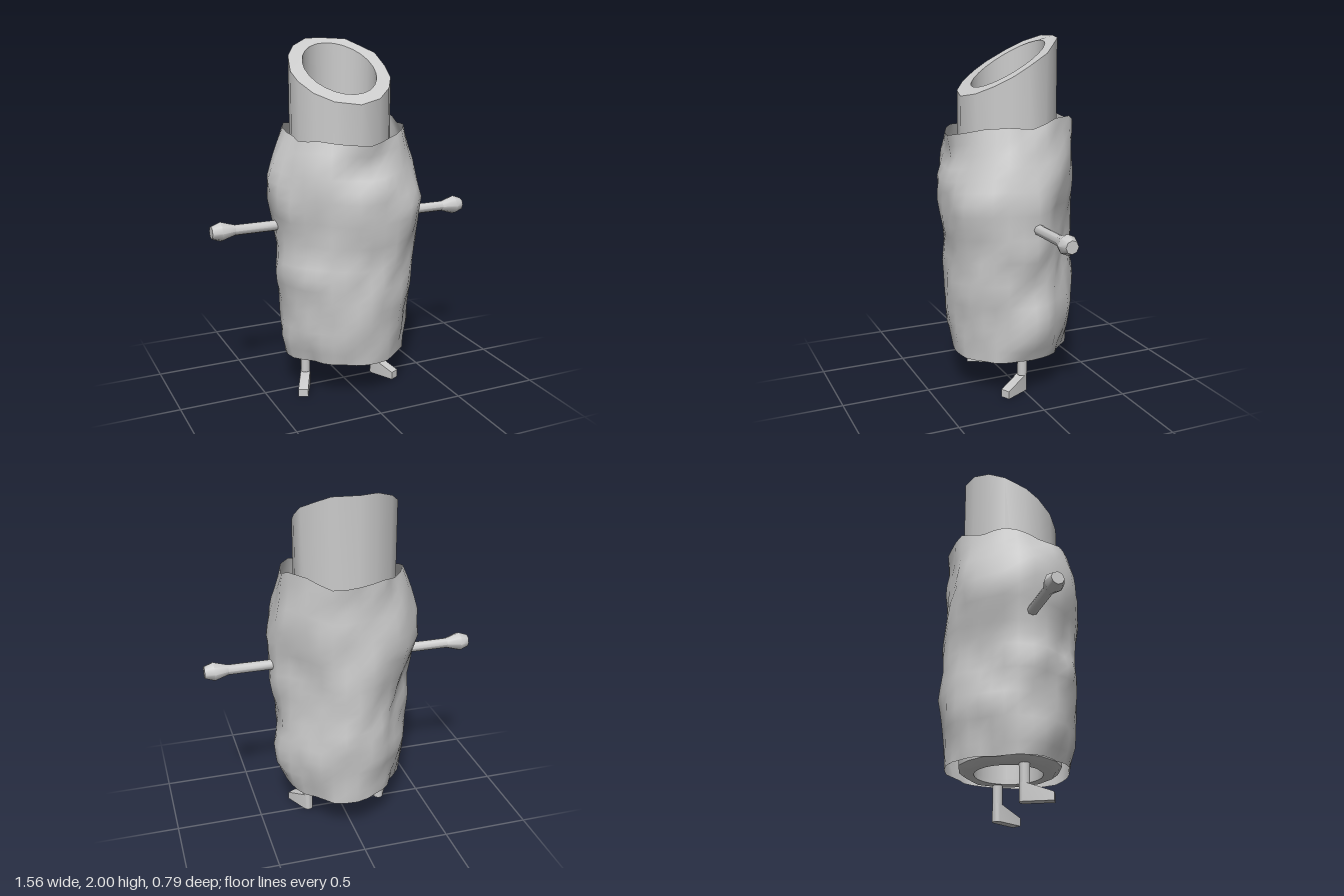
import * as THREE from 'three';
import { toCreasedNormals } from 'three/addons/utils/BufferGeometryUtils.js';

const material = new THREE.MeshStandardMaterial({ color: 0xcccccc, side: THREE.DoubleSide });

function part(name, geometry, parent) {
  const mesh = new THREE.Mesh(geometry, material);
  mesh.name = name;
  parent.add(mesh);
  return mesh;
}

// Linear interpolation in an evenly spaced list, t from 0 to 1
function sample(list, t) {
  const f = t * (list.length - 1);
  const i = Math.min(Math.floor(f), list.length - 2);
  return THREE.MathUtils.lerp(list[i], list[i + 1], f - i);
}

// Sleeve radii from bottom to top in eight directions (degrees from +x towards +z)
const SLEEVE = [
  { angle: 0, radii: [0.34, 0.40, 0.405, 0.375, 0.39, 0.42, 0.41, 0.415, 0.40, 0.365, 0.34] },
  { angle: 40, radii: [0.345, 0.355, 0.365, 0.395, 0.40, 0.41, 0.435, 0.45, 0.405, 0.37, 0.335] },
  { angle: 90, radii: [0.335, 0.355, 0.37, 0.375, 0.37, 0.37, 0.39, 0.40, 0.40, 0.34, 0.355] },
  { angle: 140, radii: [0.32, 0.36, 0.37, 0.38, 0.40, 0.375, 0.38, 0.40, 0.405, 0.40, 0.36] },
  { angle: 180, radii: [0.36, 0.39, 0.385, 0.395, 0.42, 0.405, 0.42, 0.45, 0.45, 0.405, 0.345] },
  { angle: 220, radii: [0.315, 0.335, 0.37, 0.35, 0.34, 0.35, 0.39, 0.425, 0.41, 0.375, 0.34] },
  { angle: 270, radii: [0.355, 0.36, 0.38, 0.395, 0.385, 0.385, 0.385, 0.37, 0.365, 0.355, 0.37] },
  { angle: 320, radii: [0.315, 0.35, 0.37, 0.355, 0.335, 0.33, 0.335, 0.365, 0.38, 0.37, 0.36] },
];

function sleeveRadius(degrees, t) {
  let i = SLEEVE.length - 1;
  while (SLEEVE[i].angle > degrees) i--;
  const from = SLEEVE[i], to = SLEEVE[(i + 1) % SLEEVE.length];
  const k = THREE.MathUtils.smoothstep(degrees, from.angle, to.angle || 360);
  return THREE.MathUtils.lerp(sample(from.radii, t), sample(to.radii, t), k);
}

// Rough open sleeve with a torn rim
function sleeveGeometry() {
  const SEG = 32, ROWS = 20;
  // Height of the rim, going round from +x through +z
  const rim = [1.53, 1.54, 1.53, 1.50, 1.475, 1.485, 1.50, 1.49, 1.52, 1.55, 1.53, 1.56, 1.54, 1.53, 1.58, 1.58, 1.53];
  const pos = [], index = [];
  for (let r = 0; r <= ROWS; r++) {
    const t = r / ROWS;
    for (let s = 0; s < SEG; s++) {
      const a = (s / SEG) * Math.PI * 2;
      const bottom = 0.222 + 0.006 * Math.sin(3 * a + 1);
      const y = THREE.MathUtils.lerp(bottom, sample(rim, s / SEG), t);
      const lumps = 0.007 * Math.sin(7 * a + 2 * Math.sin(4 * y)) * Math.sin(15 * y + 1)
        + 0.005 * Math.sin(11 * a + 3 * Math.sin(7 * y + 1));
      const radius = sleeveRadius((s / SEG) * 360, t) + lumps - 0.004;
      pos.push(radius * Math.cos(a), y, radius * Math.sin(a));
      if (r < ROWS) {
        const p = r * SEG + s, q = r * SEG + (s + 1) % SEG;
        index.push(p, p + SEG, q, q, p + SEG, q + SEG);
      }
    }
  }
  const g = new THREE.BufferGeometry();
  g.setAttribute('position', new THREE.Float32BufferAttribute(pos, 3));
  g.setIndex(index);
  g.computeVertexNormals();
  return g;
}

// Thick tube: tapered bore, uneven outer wall, slanted top, bevelled lower edge
function tubeGeometry() {
  const cx = -0.02, cz = -0.01;
  const outline = [
    [-0.02, -0.288], [0.12, -0.245], [0.185, -0.185], [0.25, -0.12], [0.26, -0.01], [0.25, 0.08], [0.2, 0.16],
    [0.11, 0.235], [-0.02, 0.272], [-0.16, 0.24], [-0.25, 0.17], [-0.3, 0.08], [-0.313, 0], [-0.28, -0.12],
    [-0.22, -0.2], [-0.12, -0.262],
  ];
  const shape = new THREE.Shape(outline.map(([x, z]) => new THREE.Vector2(x, -z)));
  const bore = new THREE.Path();
  bore.absarc(cx, -cz, 0.205, 0, Math.PI * 2, true);
  shape.holes.push(bore);
  const g = new THREE.ExtrudeGeometry(shape, { depth: 1, steps: 2, bevelEnabled: false, curveSegments: 12 });
  g.rotateX(-Math.PI / 2);
  const p = g.attributes.position;
  for (let i = 0; i < p.count; i++) {
    const x = p.getX(i), level = p.getY(i), z = p.getZ(i);
    if (level > 0.75) {
      p.setY(i, Math.min(2, 1.845 - 0.6 * z));
    } else {
      const inBore = Math.hypot(x - cx, z - cz) < 0.21;
      const k = inBore ? 0.91 : level > 0.25 ? 1 : 0.88;
      p.setXYZ(i, cx + (x - cx) * k, level > 0.25 ? 0.23 : 0.203, cz + (z - cz) * k);
    }
  }
  return toCreasedNormals(g, 0.75);
}

// Arm along +x: thin rod ending in a flared fist
function armGeometry() {
  const profile = [[0, 0.285], [0.03, 0.285], [0.03, 0.65], [0.055, 0.73], [0.036, 0.782], [0, 0.782]];
  const g = new THREE.LatheGeometry(profile.map(([r, y]) => new THREE.Vector2(r, y)), 8);
  g.rotateZ(-Math.PI / 2);
  return toCreasedNormals(g, 0.8);
}

// Foot: rounded heel under the shin, straight toe; the top slopes down to the toe
function footGeometry() {
  const w = 0.028, toe = 0.152;
  const shape = new THREE.Shape();
  shape.moveTo(toe, -w);
  shape.lineTo(toe, w);
  shape.lineTo(0, w);
  shape.absarc(0, 0, w, Math.PI / 2, Math.PI * 1.5, false);
  const g = new THREE.ExtrudeGeometry(shape, { depth: 0.1, bevelEnabled: false, curveSegments: 6 });
  g.rotateX(-Math.PI / 2);
  g.rotateY(-Math.PI / 2);
  const p = g.attributes.position;
  for (let i = 0; i < p.count; i++) {
    if (p.getY(i) > 0.05 && p.getZ(i) > 0.1) p.setY(i, 0.045);
  }
  return toCreasedNormals(g, 0.7);
}

export function createModel() {
  const model = new THREE.Group();
  model.name = 'tubeFigure';
  part('roughSleeve', sleeveGeometry(), model);
  part('innerTube', tubeGeometry(), model);

  for (const side of [1, -1]) {
    const label = side > 0 ? 'left' : 'right';

    const arm = part(label + 'Arm', armGeometry(), model);
    arm.position.set(0, 1, -0.005);
    if (side < 0) arm.rotation.y = Math.PI;

    // Leg with its foot turned outward
    const leg = new THREE.Group();
    leg.name = label + 'Leg';
    leg.position.x = side > 0 ? 0.207 : -0.247;
    const shin = part('shin', new THREE.CylinderGeometry(0.028, 0.028, 0.14, 12), leg);
    shin.position.y = 0.165;
    const foot = part('foot', footGeometry(), leg);
    foot.rotation.y = side * 0.47;
    model.add(leg);
  }
  return model;
}
